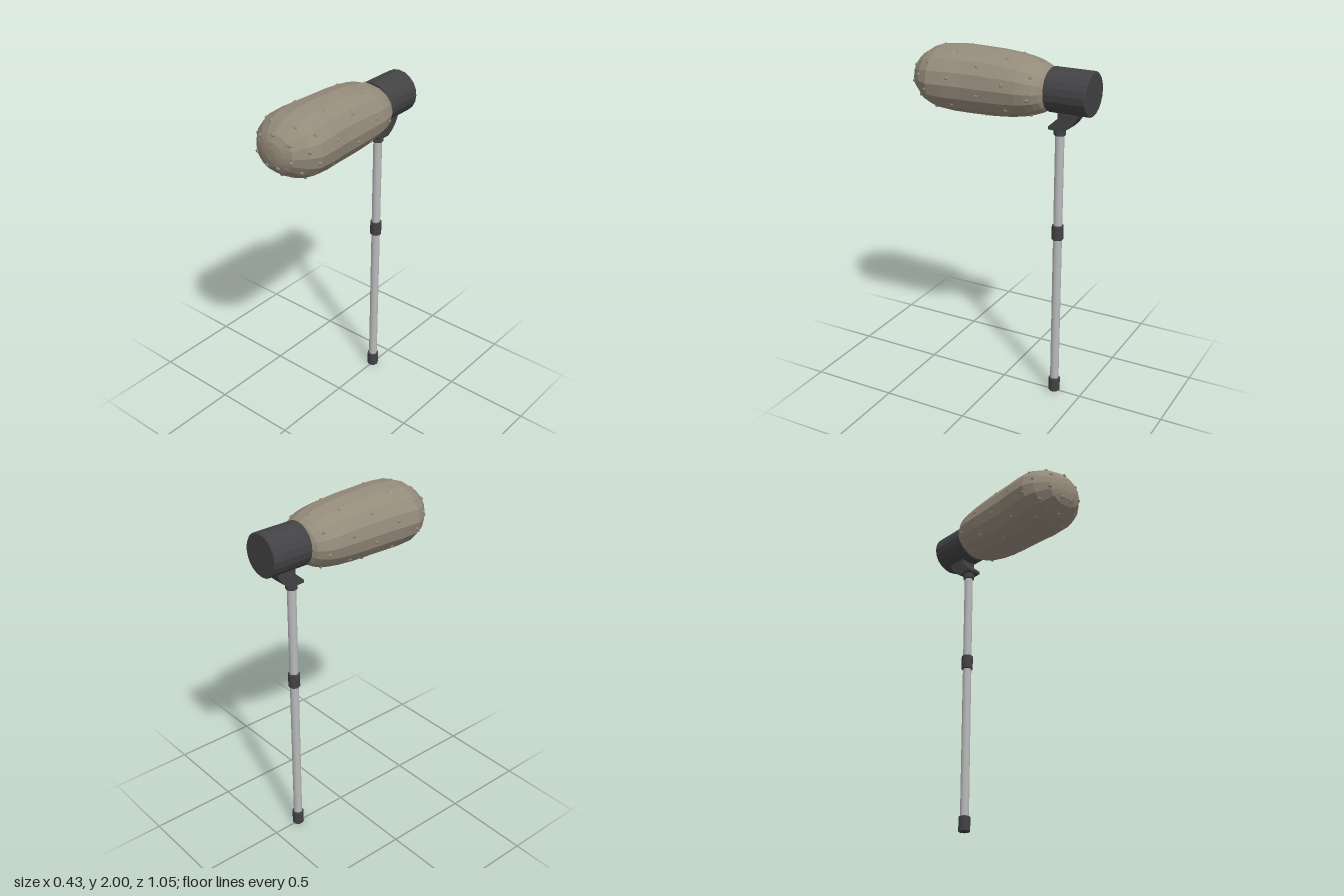
import * as THREE from 'three';

const SIDES = 16;
const AXIS_Y = 1.815;
const POLE_Z = -0.335;

// Windscreen cross-sections: z, half width, half height
const SECTIONS = [
  [-0.288, 0.115, 0.095], [-0.27, 0.145, 0.115], [-0.24, 0.165, 0.132], [-0.2, 0.18, 0.148],
  [-0.15, 0.19, 0.16], [-0.08, 0.193, 0.172], [0.02, 0.196, 0.181], [0.17, 0.2, 0.185],
  [0.27, 0.21, 0.184], [0.37, 0.213, 0.174], [0.43, 0.185, 0.152], [0.495, 0.122, 0.104],
  [0.516, 0.07, 0.066], [0.523, 0.035, 0.033],
];

function sectionPoint([z, w, h], angle) {
  return [Math.sin(angle) * w, AXIS_Y + Math.cos(angle) * h, z];
}

// Point on the windscreen at depth z and angle from the top
function surfacePoint(z, angle) {
  let i = 0;
  while (i < SECTIONS.length - 2 && SECTIONS[i + 1][0] < z) i++;
  const a = SECTIONS[i], b = SECTIONS[i + 1];
  const t = (z - a[0]) / (b[0] - a[0]);
  return sectionPoint(a.map((v, k) => v + (b[k] - v) * t), angle);
}

function windscreenGeometry() {
  const positions = [], indices = [];
  for (const s of SECTIONS) {
    for (let j = 0; j < SIDES; j++) positions.push(...sectionPoint(s, (j / SIDES) * Math.PI * 2));
  }
  for (let i = 0; i < SECTIONS.length - 1; i++) {
    for (let j = 0; j < SIDES; j++) {
      const k = (j + 1) % SIDES;
      const a = i * SIDES + j, b = i * SIDES + k;
      indices.push(a, a + SIDES, b, b, a + SIDES, b + SIDES);
    }
  }
  // End caps
  const back = positions.length / 3, front = back + 1;
  positions.push(0, AXIS_Y, SECTIONS[0][0], 0, AXIS_Y, 0.524);
  const last = (SECTIONS.length - 1) * SIDES;
  for (let j = 0; j < SIDES; j++) {
    const k = (j + 1) % SIDES;
    indices.push(back, j, k, front, last + k, last + j);
  }
  const g = new THREE.BufferGeometry();
  g.setAttribute('position', new THREE.Float32BufferAttribute(positions, 3));
  g.setIndex(indices);
  const flat = g.toNonIndexed();
  flat.computeVertexNormals();
  return flat;
}

// Cylinder with chamfered ends, standing from 0 to height
function chamferedTube(radius, height, chamfer, sides) {
  const profile = [[0, 0], [radius - chamfer, 0], [radius, chamfer],
    [radius, height - chamfer], [radius - chamfer, height], [0, height]];
  const g = new THREE.LatheGeometry(profile.map(p => new THREE.Vector2(...p)), sides).toNonIndexed();
  g.computeVertexNormals();
  return g;
}

export function createModel() {
  const model = new THREE.Group();
  model.name = 'boomMicrophone';
  const material = (name, color) => {
    const m = new THREE.MeshStandardMaterial({ color });
    m.name = name;
    return m;
  };
  const foam = material('taupe foam', 0x958b7b);
  const dark = material('dark plastic', 0x434345);
  const metal = material('light metal', 0xb9babb);

  const add = (name, geometry, mat, x = 0, y = 0, z = 0) => {
    const mesh = new THREE.Mesh(geometry, mat);
    mesh.name = name;
    mesh.position.set(x, y, z);
    model.add(mesh);
    return mesh;
  };

  add('windscreen', windscreenGeometry(), foam);

  // Small foam bumps scattered in staggered rows
  const bump = new THREE.SphereGeometry(0.013, 8, 6);
  const rows = [-0.21, -0.075, 0.075, 0.23, 0.37, 0.435, 0.5];
  rows.forEach((z, r) => {
    for (let j = 0; j < 7; j++) {
      const angle = ((j + (r % 2) * 0.5) / 7) * Math.PI * 2;
      const p = surfacePoint(z + 0.012 * Math.sin(j * 5 + r), angle);
      const mesh = add('foamBump', bump, foam, p[0] * 0.965, AXIS_Y + (p[1] - AXIS_Y) * 0.965, p[2]);
      mesh.scale.setScalar(0.85);
    }
  });

  // Rear housing
  const housing = add('rearHousing', chamferedTube(0.12, 0.24, 0.005, 20), dark, 0, 1.818, -0.523);
  housing.rotation.x = Math.PI / 2;

  // Swept bracket, drawn in side profile (z, y) and extruded across x
  const side = new THREE.Shape();
  side.moveTo(-0.34, 1.72);
  side.lineTo(-0.34, 1.675);
  side.lineTo(-0.285, 1.625);
  side.lineTo(-0.287, 1.61);
  side.lineTo(-0.37, 1.606);
  side.quadraticCurveTo(-0.44, 1.64, -0.462, 1.72);
  side.closePath();
  const bracket = new THREE.ExtrudeGeometry(side, { depth: 0.09, bevelEnabled: false, curveSegments: 4 });
  bracket.translate(0, 0, -0.045);
  bracket.rotateY(-Math.PI / 2);
  add('bracket', bracket, dark);

  // Pole, foot, joint sleeve and top collar
  add('pole', new THREE.CylinderGeometry(0.025, 0.025, 1.53, 16), metal, 0, 0.815, POLE_Z);
  add('foot', chamferedTube(0.033, 0.086, 0.004, 16), dark, 0, 0, POLE_Z);
  add('jointSleeve', chamferedTube(0.033, 0.086, 0.004, 16), dark, 0, 0.97, POLE_Z);
  add('topCollar', chamferedTube(0.033, 0.045, 0.004, 16), dark, 0, 1.573, POLE_Z);

  return model;
}
